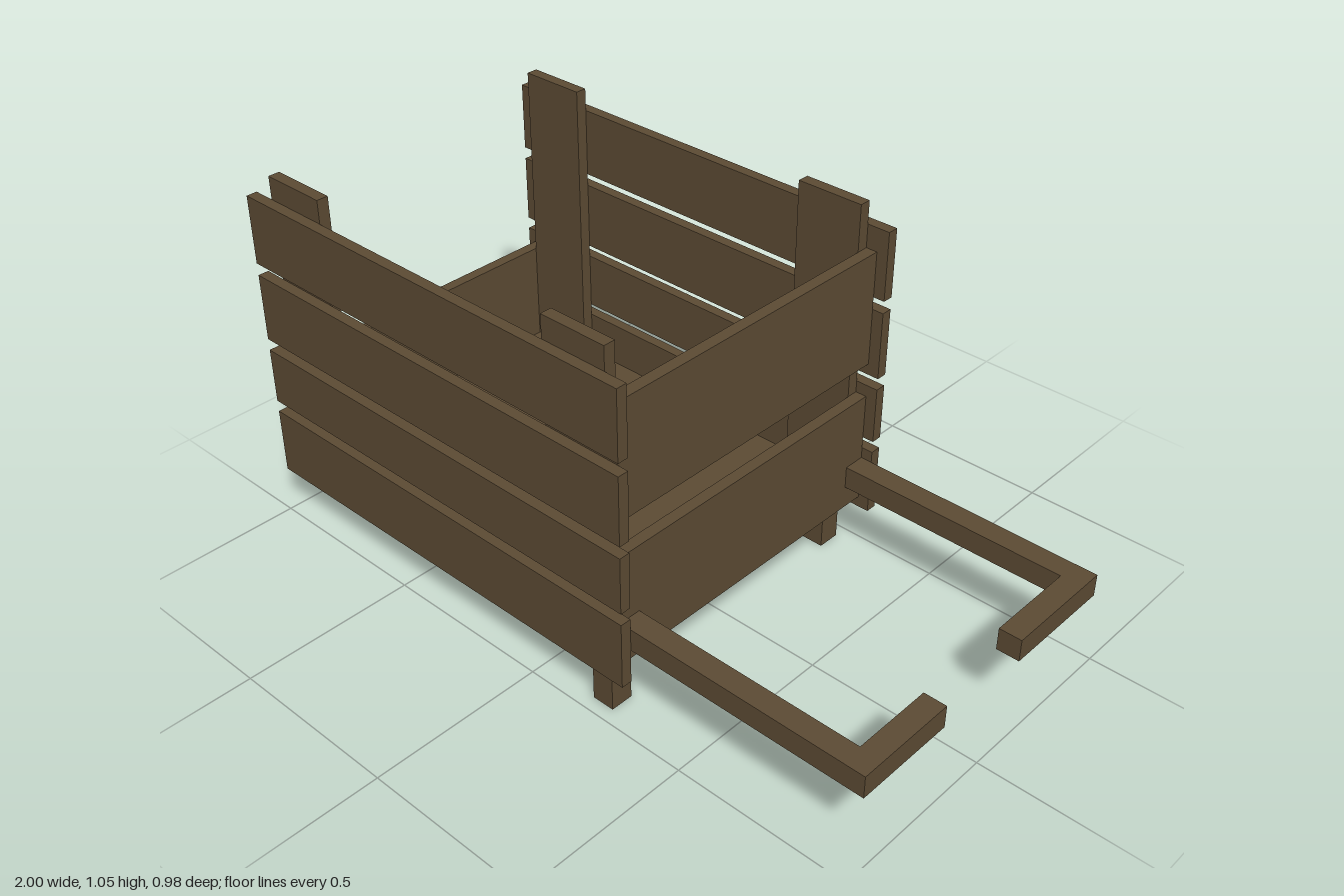
import * as THREE from 'three';

export function createModel() {
  const model = new THREE.Group();
  const wood = new THREE.MeshStandardMaterial({ color: 0x5c4b34 });
  wood.name = 'dark wood';

  // Box given by its lower and upper limits on each axis
  const board = (name, x0, x1, y0, y1, z0, z1) => {
    const mesh = new THREE.Mesh(new THREE.BoxGeometry(x1 - x0, y1 - y0, z1 - z0), wood);
    mesh.name = name;
    mesh.position.set((x0 + x1) / 2, (y0 + y1) / 2, (z0 + z1) / 2);
    model.add(mesh);
  };

  // Floor and end panels
  board('floor', -0.937, 0.243, 0.167, 0.2, -0.46, 0.46);
  board('rearPanel', -0.97, -0.937, 0.167, 0.492, -0.46, 0.46);
  board('frontLowerPanel', 0.243, 0.276, 0.167, 0.492, -0.46, 0.46);
  board('frontUpperPanel', 0.243, 0.276, 0.592, 0.919, -0.46, 0.46);

  // Both sides: slats, posts, leg and bent handle
  const slats = [[0.135, 0.329], [0.363, 0.526], [0.56, 0.755], [0.79, 0.985]];
  const posts = [[-0.937, -0.741], [0.047, 0.243]];
  for (const side of [1, -1]) {
    const sideBoard = (name, x0, x1, y0, y1, inner, outer) =>
      board(name, x0, x1, y0, y1, Math.min(side * inner, side * outer), Math.max(side * inner, side * outer));

    for (const [y0, y1] of slats) sideBoard('sideSlat', -1, 0.309, y0, y1, 0.46, 0.491);
    for (const [x0, x1] of posts) sideBoard('post', x0, x1, 0.2, 1.05, 0.427, 0.46);

    const legX = side > 0 ? 0.178 : 0.145;
    sideBoard('leg', legX, legX + 0.065, 0, 0.167, 0.394, 0.46);

    sideBoard('handleBar', 0.276, 1, 0.233, 0.297, 0.396, 0.46);
    sideBoard('handleGrip', 0.936, 1, 0.233, 0.297, side > 0 ? 0.165 : 0.132, 0.396);
  }
  return model;
}
